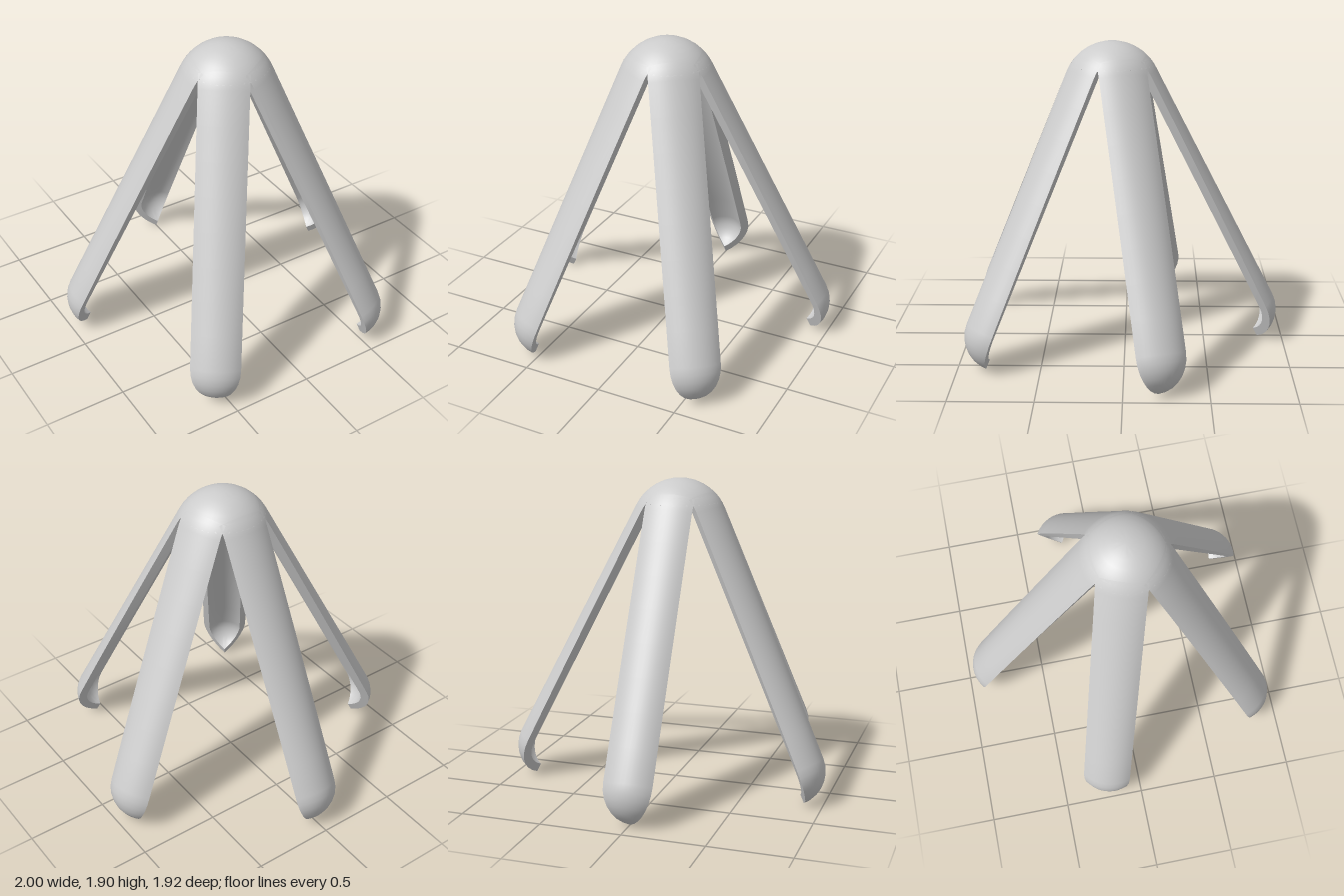
import * as THREE from 'three';
import { toCreasedNormals } from 'three/addons/utils/BufferGeometryUtils.js';

const WALL = 0.057;                         // shell thickness
const HALF = 0.15;                          // half width of a leg
const TOP = { z: 0, y: 1.6, r: 0.3 };       // ball at the crown
const FOOT = { z: 0.83, y: 0.187, r: 0.21 }; // ball at the foot
const N = new THREE.Vector3(0, 0.454, 0.891);  // outward normal of a leg
const D = new THREE.Vector3(0, -0.891, 0.454); // downward run of a leg
const ARC = 12;

// Rows of a leg: t runs crown to foot, turn bends the row over a ball
function legRows() {
  const rows = [];
  for (let i = 0; i < 4; i++) rows.push({ t: 0, turn: -0.36 + i * 0.12 });
  for (let i = 1; i <= 8; i++) rows.push({ t: i / 8, turn: 0 });
  for (let i = 1; i <= 7; i++) rows.push({ t: 1, turn: (i / 7) * Math.PI / 2 });
  return rows;
}

// Curved trough: an arc-shaped shell section swept down, closing to a point at the toe
function legGeometry() {
  const pos = [], index = [];
  const rows = legRows();
  const loop = 2 * (ARC + 1);
  for (const { t, turn } of rows) {
    const r = THREE.MathUtils.lerp(TOP.r, FOOT.r, t);
    const c = new THREE.Vector3(0, THREE.MathUtils.lerp(TOP.y, FOOT.y, t), THREE.MathUtils.lerp(TOP.z, FOOT.z, t));
    const half = Math.asin(HALF / r);
    for (let j = 0; j < loop; j++) {
      const outer = j <= ARC;
      const k = outer ? j : loop - 1 - j;
      const a = half * (2 * k / ARC - 1);
      const rad = outer ? r : r - WALL;
      const v = new THREE.Vector3();
      if (turn <= 0) {
        // rows over the crown keep their width
        v.addScaledVector(N, Math.cos(a) * Math.cos(turn)).addScaledVector(D, Math.cos(a) * Math.sin(turn));
        v.x = Math.sin(a);
      } else {
        // rows round the toe converge
        v.addScaledVector(N, Math.cos(a) * Math.cos(turn)).addScaledVector(D, Math.sin(turn));
        v.x = Math.sin(a) * Math.cos(turn);
      }
      v.multiplyScalar(rad).add(c);
      pos.push(v.x, v.y, v.z);
    }
  }
  for (let i = 0; i < rows.length - 1; i++) {
    for (let j = 0; j < loop; j++) {
      const a = i * loop + j, b = i * loop + (j + 1) % loop;
      index.push(a, a + loop, b, b, a + loop, b + loop);
    }
  }
  const g = new THREE.BufferGeometry();
  g.setAttribute('position', new THREE.Float32BufferAttribute(pos, 3));
  g.setIndex(index);
  return toCreasedNormals(g, 0.7);
}

// Domed shell cap whose rim meets the corners between the legs
function crownGeometry() {
  const end = Math.asin(HALF / Math.sin(Math.PI / 5) / TOP.r);
  const pts = [];
  const steps = 6;
  const add = (r, a) => pts.push(new THREE.Vector2(r * Math.sin(a), TOP.y + r * Math.cos(a)));
  for (let i = 0; i <= steps; i++) add(TOP.r - WALL, end * i / steps);
  for (let i = steps; i >= 0; i--) add(TOP.r, end * i / steps);
  return toCreasedNormals(new THREE.LatheGeometry(pts, 40), 0.7);
}

export function createModel() {
  const model = new THREE.Group();
  const material = new THREE.MeshStandardMaterial({ color: 0xcccccc });

  const crown = new THREE.Mesh(crownGeometry(), material);
  crown.name = 'crown';
  crown.position.z = 0.08;
  model.add(crown);

  // Five equal legs, one pointing straight back
  const geometry = legGeometry();
  for (let i = 0; i < 5; i++) {
    const leg = new THREE.Mesh(geometry, material);
    leg.name = 'leg' + (i + 1);
    leg.position.z = 0.08;
    leg.rotation.y = Math.PI + i * Math.PI * 2 / 5;
    model.add(leg);
  }
  return model;
}
